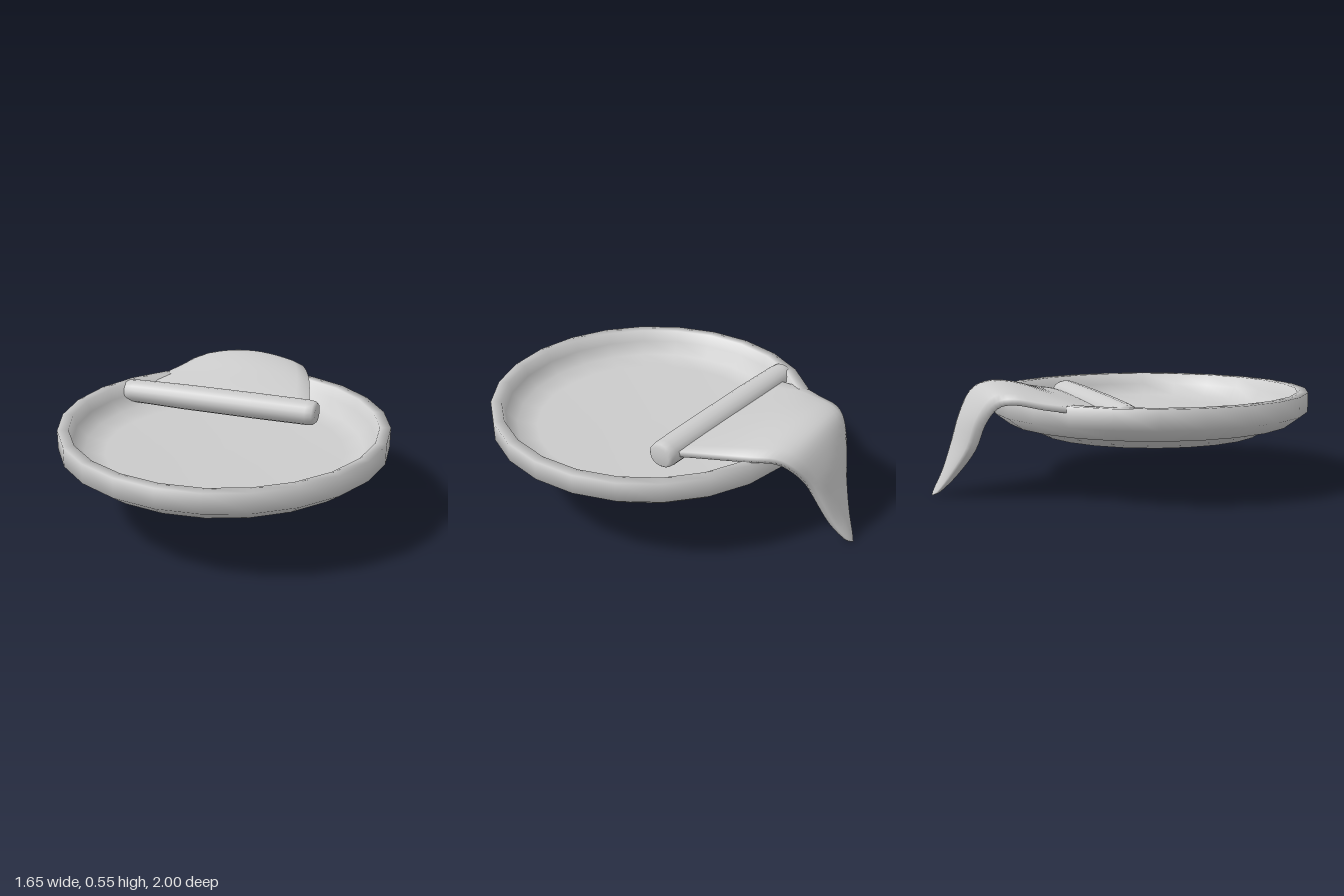
import * as THREE from 'three';

const material = new THREE.MeshStandardMaterial({ color: 0xcccccc, side: THREE.DoubleSide });
const V2 = (p) => new THREE.Vector2(p[0], p[1]);
const V3 = (p) => new THREE.Vector3(...p);

function addMesh(group, geometry, name) {
  const mesh = new THREE.Mesh(geometry, material);
  mesh.name = name;
  group.add(mesh);
  return mesh;
}

// Round shallow dish: stepped foot, upright wall, hollow inside
function dishGeometry() {
  const profile = [
    [0, 0.25], [0.58, 0.25], [0.67, 0.31], [0.745, 0.31], [0.825, 0.37], [0.825, 0.47],
    [0.77, 0.47], [0.755, 0.41], [0.70, 0.35], [0.60, 0.325], [0, 0.32],
  ];
  return new THREE.LatheGeometry(profile.map(V2), 24);
}

// Rolled end of the cloth, lying across the dish
function rollGeometry() {
  const h = 0.545;
  const profile = [
    [0, -h], [0.05, -h], [0.066, -h + 0.02], [0.07, -h + 0.06], [0.076, -0.2],
    [0.077, 0.2], [0.075, h - 0.05], [0.07, h - 0.015], [0.055, h], [0, h],
  ];
  return new THREE.LatheGeometry(profile.map(V2), 16).rotateZ(-Math.PI / 2).scale(1, 0.87, 1);
}

// Draped cloth: closed cross-sections between a left and a right edge, narrowing to a tip
function clothGeometry() {
  // each row: one edge, other edge, bulge of the middle, offset to the underside
  const rows = [
    [[-0.50, 0.43, -0.33], [0.40, 0.43, -0.12], [0, 0, 0], [0, -0.03, 0]],
    [[-0.45, 0.45, -0.43], [0.41, 0.455, -0.20], [0, 0.01, 0], [0, -0.03, 0]],
    [[-0.42, 0.465, -0.52], [0.405, 0.485, -0.38], [0, 0.025, 0], [0, -0.03, 0]],
    [[-0.34, 0.48, -0.63], [0.385, 0.50, -0.53], [0, 0.05, 0], [0, -0.03, 0]],
    [[-0.25, 0.50, -0.745], [0.35, 0.50, -0.65], [0, 0.053, 0], [0, -0.03, 0.01]],
    [[-0.18, 0.475, -0.81], [0.32, 0.455, -0.73], [0, 0.055, -0.015], [0, -0.025, 0.02]],
    [[-0.11, 0.38, -0.855], [0.27, 0.36, -0.80], [0, 0.03, -0.03], [0, -0.015, 0.03]],
    [[-0.05, 0.25, -0.88], [0.24, 0.25, -0.85], [0, 0, -0.035], [0, -0.01, 0.03]],
    [[0.04, 0.12, -0.93], [0.21, 0.12, -0.91], [0, 0, -0.025], [0, -0.005, 0.025]],
    [[0.11, 0.025, -0.98], [0.185, 0.025, -0.975], [0, 0, -0.01], [0, 0, 0.012]],
    [[0.15, 0, -1], [0.15, 0, -1], [0, 0, 0], [0, 0, 0]],
  ];
  const [edgeA, edgeB, bulge, under] = [0, 1, 2, 3].map(
    (i) => new THREE.CatmullRomCurve3(rows.map((r) => V3(r[i])), false, 'catmullrom', 0.5));
  const steps = 40, across = 12, ring = 2 * (across + 1);
  const positions = [], index = [];
  for (let i = 0; i <= steps; i++) {
    const t = i / steps;
    const a = edgeA.getPoint(t), b = edgeB.getPoint(t), m = bulge.getPoint(t), d = under.getPoint(t);
    for (let k = 0; k < ring; k++) {
      const below = k > across;
      const u = (below ? ring - 1 - k : k) / across;
      const p = a.clone().lerp(b, u).addScaledVector(m, Math.sin(Math.PI * u) ** 0.7);
      if (below) p.add(d);
      positions.push(p.x, p.y, p.z);
    }
  }
  for (let i = 0; i < steps; i++) {
    for (let k = 0; k < ring; k++) {
      const p = i * ring + k, q = i * ring + (k + 1) % ring;
      index.push(p, q, p + ring, q, q + ring, p + ring);
    }
  }
  const geometry = new THREE.BufferGeometry();
  geometry.setAttribute('position', new THREE.Float32BufferAttribute(positions, 3));
  geometry.setIndex(index);
  geometry.computeVertexNormals();
  return geometry;
}

export function createModel() {
  const group = new THREE.Group();
  group.name = 'dishWithCloth';

  addMesh(group, dishGeometry(), 'dish').position.z = 0.17;

  const roll = addMesh(group, rollGeometry(), 'clothRoll');
  roll.position.set(-0.075, 0.425, -0.22);
  roll.rotation.y = -Math.atan2(0.245, 1.06);

  addMesh(group, clothGeometry(), 'drapedCloth');
  return group;
}
